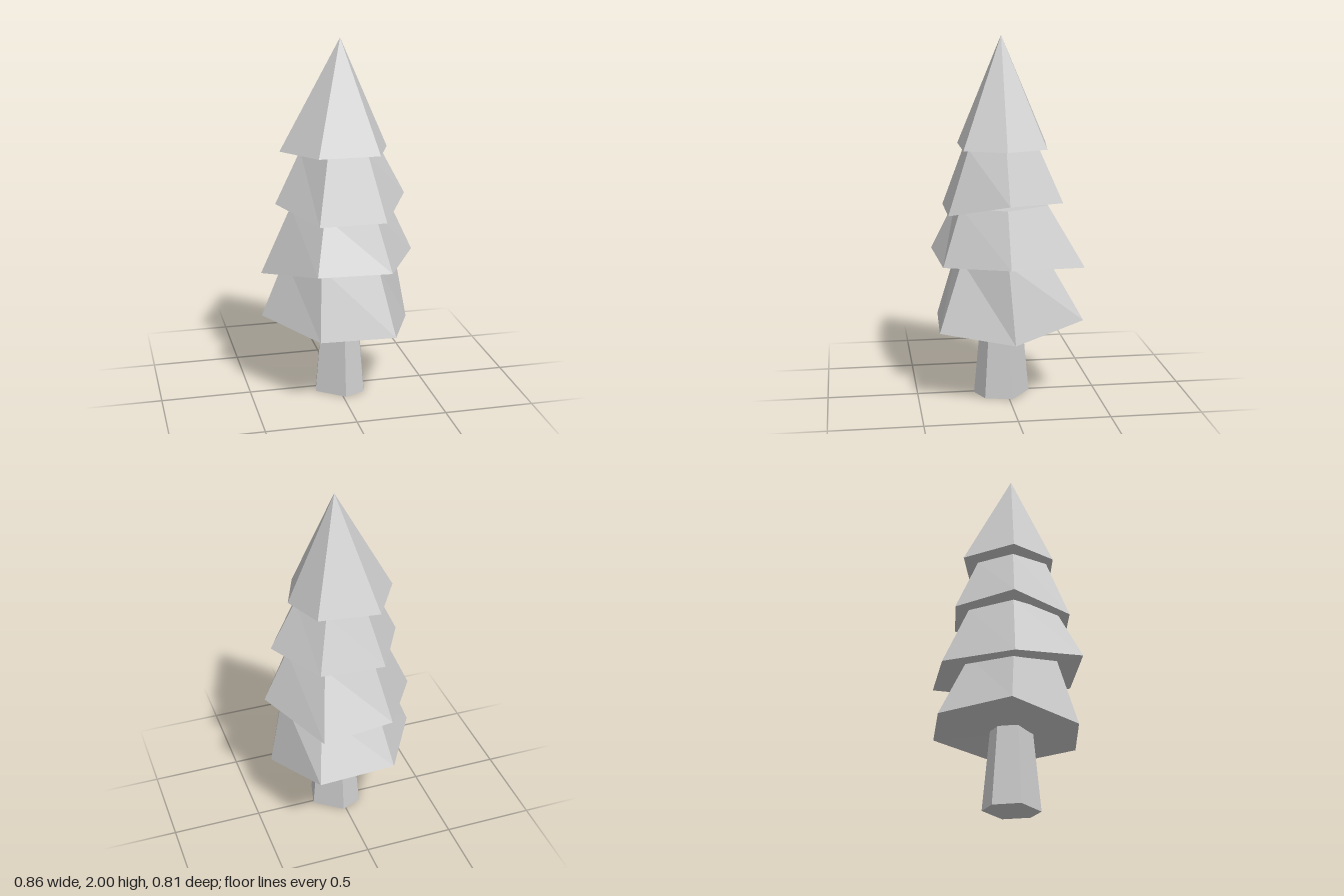
import * as THREE from 'three';

const CX = 0.015, CZ = 0.026; // trunk axis
const SIDES = 6;

// Faceted skin over a stack of rings, bottom to top; a ring of one point closes to a tip or cap centre.
function loft(rings) {
  const out = [];
  const at = (ring, k) => ring[k % ring.length];
  for (let i = 0; i + 1 < rings.length; i++) {
    const low = rings[i], high = rings[i + 1];
    for (let k = 0; k < SIDES; k++) {
      const a = at(low, k), b = at(low, k + 1), c = at(high, k + 1), d = at(high, k);
      if (high.length > 1) out.push(...a, ...d, ...c);
      if (low.length > 1) out.push(...a, ...c, ...b);
    }
  }
  const geo = new THREE.BufferGeometry();
  geo.setAttribute('position', new THREE.Float32BufferAttribute(out, 3));
  geo.computeVertexNormals();
  return geo;
}

// Ring of points around the axis; angles run from +x towards +z.
const ring = (y, rx, rz = rx, angles = [0, 60, 120, 180, 240, 300]) =>
  angles.map((deg) => {
    const t = THREE.MathUtils.degToRad(deg);
    return [CX + rx * Math.cos(t), y, CZ + rz * Math.sin(t)];
  });
const centre = (y) => [[CX, y, CZ]];

export function createModel() {
  const group = new THREE.Group();
  const material = new THREE.MeshStandardMaterial({ color: 0xcccccc, flatShading: true });
  const add = (name, rings) => {
    const mesh = new THREE.Mesh(loft(rings), material);
    mesh.name = name;
    group.add(mesh);
  };

  // Tapered trunk with uneven sides
  const bark = [-16, 43, 90, 164, 223, 270];
  add('trunk', [centre(0), ring(0, 0.156, 0.156, bark), ring(0.44, 0.115, 0.115, bark), centre(0.44)]);

  // Foliage tiers: uneven rim corners (x, y, z) from +x round by the front, then the top ring
  const tiers = [
    {
      name: 'bottomFoliage', under: 0.43, top: 0.8, rx: 0.31, rz: 0.27,
      rim: [[0.41, 0.385, 0.0], [0.243, 0.42, 0.39], [-0.17, 0.42, 0.37],
        [-0.427, 0.465, 0.01], [-0.2, 0.455, -0.365], [0.243, 0.465, -0.395]],
    },
    {
      name: 'lowerFoliage', under: 0.77, top: 1.09, rx: 0.275, rz: 0.275,
      rim: [[0.427, 0.8, 0.026], [0.225, 0.78, 0.367], [-0.19, 0.8, 0.4],
        [-0.43, 0.72, 0.026], [-0.19, 0.755, -0.35], [0.223, 0.755, -0.405]],
    },
    {
      name: 'upperFoliage', under: 1.09, top: 1.4, rx: 0.22, rz: 0.22,
      rim: [[0.38, 1.13, 0.026], [0.2, 1.055, 0.335], [-0.165, 1.055, 0.335],
        [-0.345, 1.11, 0.026], [-0.165, 1.09, -0.286], [0.2, 1.11, -0.286]],
    },
    {
      name: 'topFoliage', under: 1.4, top: 2,
      rim: [[0.277, 1.4, 0.026], [0.185, 1.4, 0.25], [-0.15, 1.4, 0.25],
        [-0.318, 1.4, 0.026], [-0.15, 1.4, -0.245], [0.185, 1.4, -0.2]],
    },
  ];
  for (const { name, under, top, rx, rz, rim } of tiers) {
    const crown = rx ? [ring(top, rx, rz), centre(top)] : [centre(top)];
    add(name, [centre(under), rim, ...crown]);
  }
  return group;
}
